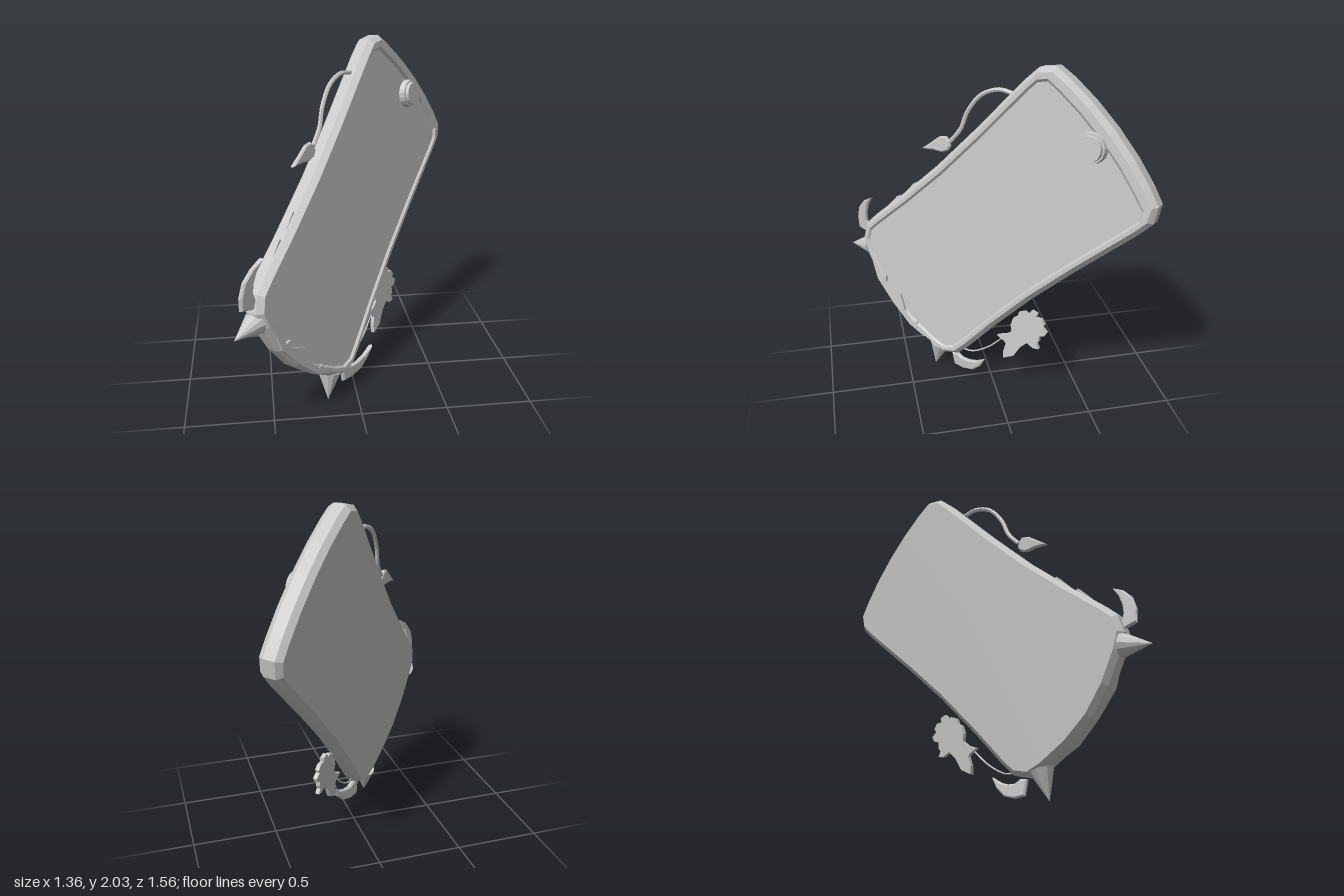
import * as THREE from 'three';

// Right half of the case outline, bottom to top: bowed ends, waisted sides
const HALF = [[0, -0.975], [0.18, -0.955], [0.36, -0.905], [0.455, -0.86], [0.508, -0.77], [0.508, -0.66],
  [0.49, -0.4], [0.478, -0.05], [0.485, 0.3], [0.505, 0.75], [0.502, 0.85], [0.445, 0.93], [0.34, 0.955],
  [0.18, 0.977], [0, 0.985]];
const OUTLINE = [...HALF, ...HALF.slice(1, -1).reverse().map(([x, y]) => [-x, y])];

// Outline moved inward along its normals, with the top end lowered by drop
function insetLoop(inset, z, drop = 0) {
  const n = OUTLINE.length;
  return OUTLINE.map(([x, y], i) => {
    const a = OUTLINE[(i + n - 1) % n], b = OUTLINE[(i + 1) % n];
    const tx = b[0] - a[0], ty = b[1] - a[1], len = Math.hypot(tx, ty);
    return [x - (ty / len) * inset, y + (tx / len) * inset - (y > 0.7 ? drop : 0), z];
  });
}

// Skin over stacked loops, closed at both ends
function loft(loops) {
  const pos = [], n = loops[0].length, last = loops.length - 1;
  const tri = (...p) => p.forEach((q) => pos.push(...q));
  for (let i = 0; i < n; i++) {
    const j = (i + 1) % n;
    for (let k = 0; k < last; k++) {
      const [a, b, c, d] = [loops[k][i], loops[k][j], loops[k + 1][j], loops[k + 1][i]];
      tri(a, b, c);
      tri(a, c, d);
    }
    tri([0, 0, loops[0][0][2]], loops[0][j], loops[0][i]);
    tri([0, 0, loops[last][0][2]], loops[last][i], loops[last][j]);
  }
  const g = new THREE.BufferGeometry();
  g.setAttribute('position', new THREE.Float32BufferAttribute(pos, 3));
  g.computeVertexNormals();
  return g;
}

// Flat cut-out centred on depth z, with an optional bevel
function plate(points, depth, z, bevel = 0) {
  const shape = new THREE.Shape(points.map(([x, y]) => new THREE.Vector2(x, y)));
  return new THREE.ExtrudeGeometry(shape, {
    depth, bevelEnabled: bevel > 0, bevelThickness: bevel, bevelSize: bevel, bevelOffset: -bevel, bevelSegments: 1,
  }).translate(0, 0, z - depth / 2);
}

function tube(points, radius, segments) {
  const curve = new THREE.CatmullRomCurve3(points.map(([x, y]) => new THREE.Vector3(x, y, 0)));
  return new THREE.TubeGeometry(curve, segments, radius, 6);
}

export function createModel() {
  const grey = new THREE.MeshStandardMaterial({ color: 0xc8c8c8, flatShading: true });
  grey.name = 'grey';
  const phone = new THREE.Group();
  phone.name = 'phone';
  const add = (name, geometry) => {
    const mesh = new THREE.Mesh(geometry, grey);
    mesh.name = name;
    phone.add(mesh);
    return mesh;
  };

  // Case: flat back, chamfered walls, raised rim (wider at the top) and sunken screen
  add('case', loft([[0.028, -0.065], [0, -0.035], [0, 0.03], [0.027, 0.063], [0.048, 0.063, 0.025], [0.06, 0.05, 0.03]]
    .map((args) => insetLoop(...args))));

  // Round button over the top edge of the screen
  add('buttonRing', new THREE.CylinderGeometry(0.08, 0.088, 0.04, 20).rotateX(Math.PI / 2).translate(0, 0.838, 0.064));
  add('buttonCap', new THREE.CylinderGeometry(0.067, 0.072, 0.026, 20).rotateX(Math.PI / 2).translate(0, 0.838, 0.09));

  // Toothed lip along the bottom rim
  add('toothedLip', plate([[-0.18, -0.945], [0, -0.955], [0.18, -0.945], [0.3, -0.9], [0.23, -0.912], [0.2, -0.885],
    [0.17, -0.915], [0.09, -0.91], [-0.01, -0.862], [-0.13, -0.905], [-0.16, -0.875], [-0.18, -0.9], [-0.28, -0.9]],
  0.018, 0.057));

  // Side keys, nearly flush with the wall
  for (const [x, y] of [[-0.473, -0.345], [-0.484, -0.515]]) {
    const key = add('sideKey', new THREE.BoxGeometry(0.04, 0.125, 0.04));
    key.position.set(x, y, 0);
    key.rotation.z = 0.06;
  }

  // Horn and crescent wing at each bottom corner
  for (const s of [-1, 1]) {
    const horn = add('horn', new THREE.ConeGeometry(0.068, 0.17, 12));
    horn.position.set(s * 0.437, -0.95, -0.01);
    horn.quaternion.setFromUnitVectors(new THREE.Vector3(0, 1, 0), new THREE.Vector3(s * 0.55, -0.835, 0).normalize());
    const shift = s < 0 ? -0.025 : 0;
    const crescent = [[0.48, -0.83], [0.555, -0.88], [0.61, -0.83], [0.648, -0.76], [0.652, -0.68], [0.63, -0.605],
      [0.612, -0.68], [0.585, -0.735], [0.55, -0.775], [0.51, -0.79]]
      .map(([x, y]) => [s * (x + shift), y]);
    const wing = plate(crescent, 0.014, 0, 0.008);
    // The wing leans forward towards its tip
    const p = wing.attributes.position;
    for (let i = 0; i < p.count; i++) p.setZ(i, p.getZ(i) + 0.2 * (p.getY(i) + 0.83));
    add('wing', wing);
  }

  // Tail with a spade tip
  add('tail', tube([[-0.47, 0.635], [-0.515, 0.605], [-0.568, 0.56], [-0.613, 0.451], [-0.596, 0.313], [-0.55, 0.209],
    [-0.538, 0.1]], 0.013, 20));
  add('tailTip', plate([[-0.542, 0.1], [-0.575, 0.1], [-0.602, 0.06], [-0.61, 0], [-0.622, -0.09], [-0.57, -0.03],
    [-0.524, 0.01], [-0.506, 0.05], [-0.514, 0.085]], 0.012, 0, 0.008));

  // Hanging charm and its cord
  add('cord', tube([[0.475, -0.76], [0.543, -0.7], [0.58, -0.56], [0.58, -0.43]], 0.005, 10));
  add('charm', plate([[0.548, -0.45], [0.575, -0.385], [0.578, -0.34], [0.54, -0.315], [0.515, -0.27], [0.523, -0.24],
    [0.505, -0.21], [0.523, -0.17], [0.543, -0.165], [0.538, -0.125], [0.573, -0.108], [0.588, -0.13], [0.615, -0.105],
    [0.65, -0.112], [0.655, -0.135], [0.695, -0.13], [0.705, -0.16], [0.69, -0.19], [0.715, -0.215], [0.72, -0.24],
    [0.752, -0.25], [0.73, -0.28], [0.685, -0.295], [0.685, -0.36], [0.708, -0.44], [0.685, -0.512], [0.65, -0.48],
    [0.62, -0.43], [0.6, -0.43]], 0.024, -0.01));

  // Tilted pose
  phone.quaternion.setFromRotationMatrix(new THREE.Matrix4().makeBasis(
    new THREE.Vector3(0.529, -0.702, -0.477),
    new THREE.Vector3(0.428, 0.706, -0.564),
    new THREE.Vector3(0.733, 0.094, 0.674),
  ));
  phone.position.set(0.012, 1.053, -0.01);
  const model = new THREE.Group();
  model.name = 'model';
  model.add(phone);
  return model;
}
